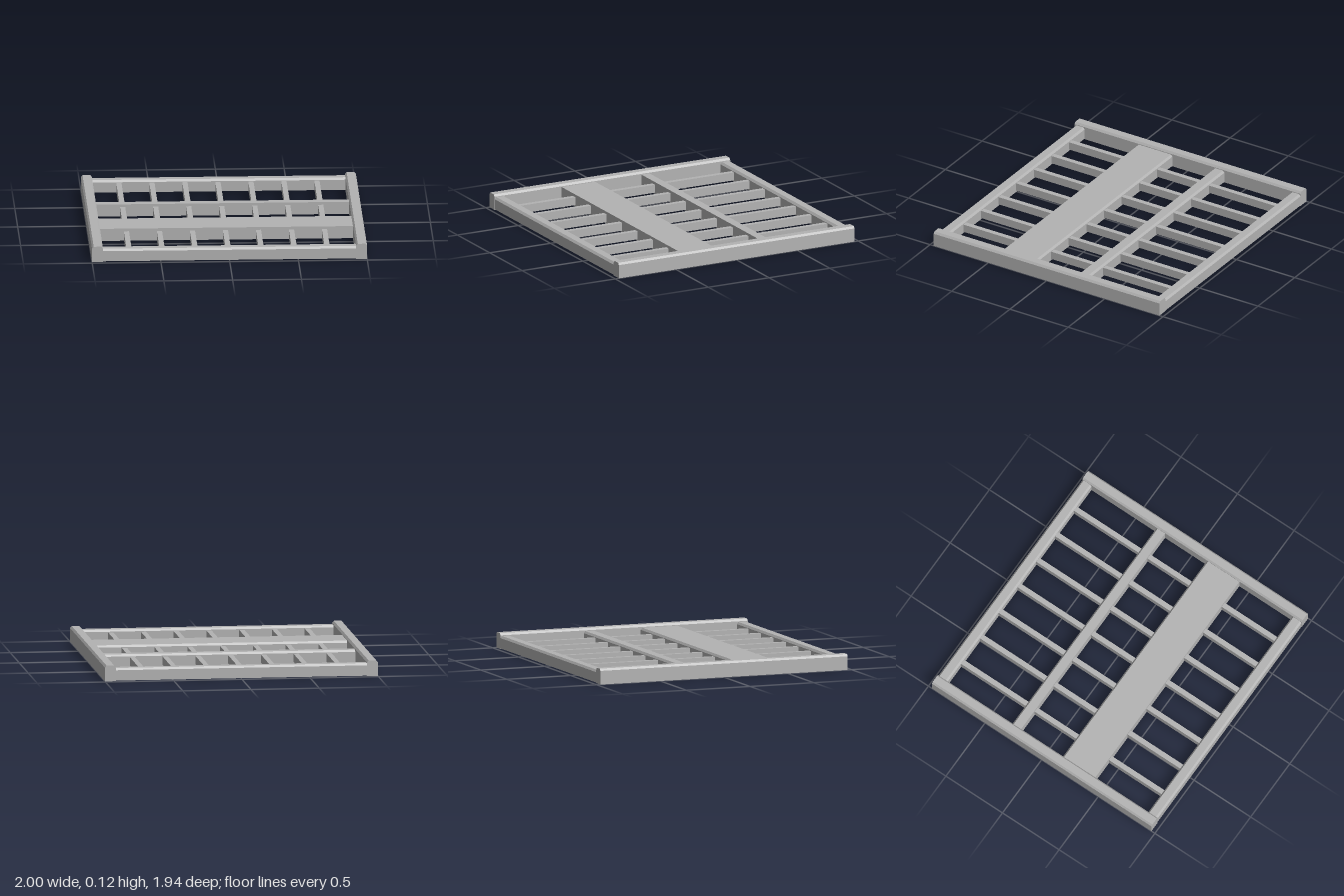
import * as THREE from 'three';

const steel = new THREE.MeshStandardMaterial({ color: 0xb3b3b3, side: THREE.DoubleSide });
steel.name = 'grey steel';

// Cross-section of a downward-open channel, with a chamfer on either top edge
function channelProfile(u0, u1, bottom, top, chamferStart = 0, chamferEnd = 0, drop = 0.015) {
  const points = [[u0, bottom]];
  if (chamferStart) points.push([u0, top - drop], [u0 + chamferStart, top]);
  else points.push([u0, top]);
  if (chamferEnd) points.push([u1 - chamferEnd, top], [u1, top - drop]);
  else points.push([u1, top]);
  points.push([u1, bottom]);
  return points;
}

// Sweeps a cross-section along z as a flat-sided sheet
function sweep(profile, z0, z1) {
  const positions = [];
  for (let i = 0; i < profile.length - 1; i++) {
    const [x0, y0] = profile[i];
    const [x1, y1] = profile[i + 1];
    positions.push(x0, y0, z0, x0, y0, z1, x1, y1, z1);
    positions.push(x0, y0, z0, x1, y1, z1, x1, y1, z0);
  }
  const geometry = new THREE.BufferGeometry();
  geometry.setAttribute('position', new THREE.Float32BufferAttribute(positions, 3));
  geometry.computeVertexNormals();
  return geometry;
}

export function createModel() {
  const model = new THREE.Group();
  model.name = 'floorFrame';

  const add = (name, geometry, parent = model) => {
    const mesh = new THREE.Mesh(geometry, steel);
    mesh.name = name;
    parent.add(mesh);
    return mesh;
  };

  // Side rails with closed ends
  for (const [name, side] of [['leftRail', 1], ['rightRail', -1]]) {
    const rail = new THREE.Group();
    rail.name = name;
    const profile = channelProfile(-0.04, 0.04, 0, 0.115, 0.012, 0.012);
    add(name + 'Channel', sweep(profile, -0.97, 0.97), rail);
    const endShape = new THREE.Shape(profile.map(([x, y]) => new THREE.Vector2(x, y)));
    add(name + 'FrontCap', new THREE.ShapeGeometry(endShape), rail).position.z = 0.97;
    const backCap = add(name + 'BackCap', new THREE.ShapeGeometry(endShape), rail);
    backCap.position.z = -0.97;
    backCap.rotation.y = Math.PI;
    rail.position.x = side * 0.96;
    model.add(rail);
  }

  // Cross members: name, back z, front z, front chamfer
  const crossMembers = [
    ['backBeam', -0.97, -0.888, 0.014],
    ['middleBeam', -0.316, -0.238, 0],
    ['widePlank', 0.13, 0.418, 0],
    ['frontBeam', 0.884, 0.967, 0.014],
  ];
  for (const [name, back, front, frontChamfer] of crossMembers) {
    const profile = channelProfile(-front, -back, 0.004, 0.095, frontChamfer, 0.012);
    add(name, sweep(profile, -0.92, 0.92).rotateY(Math.PI / 2));
  }

  // Joists fill each bay between neighbouring cross members
  const joistProfile = channelProfile(-0.019, 0.019, 0.015, 0.075);
  for (let bay = 0; bay < crossMembers.length - 1; bay++) {
    const geometry = sweep(joistProfile, crossMembers[bay][2], crossMembers[bay + 1][1]);
    for (let i = -3; i <= 3; i++) add('joist', geometry).position.x = i * 0.24 - 0.007;
  }

  return model;
}
